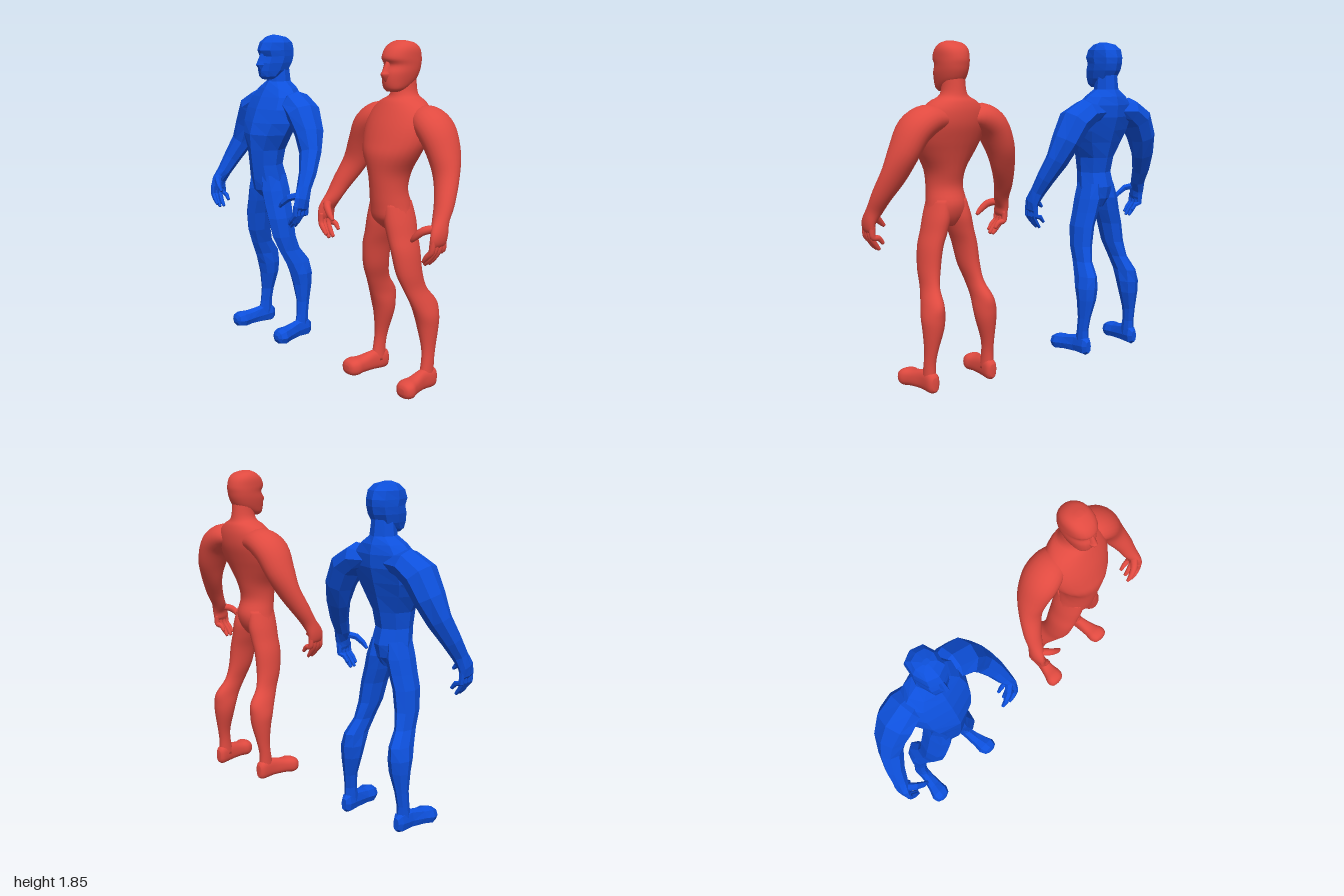
import * as THREE from 'three';

// Catmull-Rom through the rows of a ring table
function refine(rows, steps) {
  if (steps === 1) return rows;
  const out = [], n = rows.length, at = i => rows[Math.min(n - 1, Math.max(0, i))];
  for (let i = 0; i < n - 1; i++) {
    for (let s = 0; s < steps; s++) {
      const t = s / steps;
      out.push(rows[i].map((p1, k) => {
        const p0 = at(i - 1)[k], p2 = at(i + 1)[k], p3 = at(i + 2)[k];
        return p1 + 0.5 * t * (p2 - p0 + t * (2 * p0 - 5 * p1 + 4 * p2 - p3 + t * (3 * (p1 - p2) + p3 - p0)));
      }));
    }
  }
  out.push(rows[n - 1]);
  return out;
}

// Closed skin over rings [x, y, z, half width, front depth, back depth].
// axis: 'y' level rings, 'z' upright rings, 'path' rings square to the path.
function loft(table, { sides, steps, axis = 'path', side = 1, power = 2 }) {
  const rows = refine(table, steps), pos = [], idx = [], n = rows.length;
  const centre = i => new THREE.Vector3(...rows[Math.min(n - 1, Math.max(0, i))].slice(0, 3));
  const round = c => Math.sign(c) * Math.pow(Math.abs(c), 2 / power);
  rows.forEach((r, i) => {
    let u = new THREE.Vector3(1, 0, 0), v = new THREE.Vector3(0, 0, 1);
    if (axis === 'z') v.set(0, 1, 0);
    if (axis === 'path') {
      const t = centre(i + 1).sub(centre(i - 1)).normalize();
      v.addScaledVector(t, -v.dot(t)).normalize();
      u = t.clone().cross(v);
    }
    for (let j = 0; j < sides; j++) {
      const a = (j / sides) * Math.PI * 2, s = round(Math.sin(a));
      const p = centre(i).addScaledVector(u, round(Math.cos(a)) * r[3]).addScaledVector(v, s * (s > 0 ? r[4] : r[5]));
      pos.push(p.x * side, p.y, p.z);
    }
  });
  for (const i of [0, n - 1]) pos.push(rows[i][0] * side, rows[i][1], rows[i][2]);
  for (let j = 0; j < sides; j++) {
    const k = (j + 1) % sides, top = (n - 1) * sides;
    for (let i = 0; i < n - 1; i++) {
      const a = i * sides + j, b = i * sides + k;
      idx.push(a, b, b + sides, a, b + sides, a + sides);
    }
    idx.push(n * sides, k, j, n * sides + 1, top + j, top + k);
  }
  // turn the skin outward whichever way the rings run
  let volume = 0;
  const P = i => new THREE.Vector3().fromArray(pos, i * 3);
  for (let i = 0; i < idx.length; i += 3) volume += P(idx[i]).sub(centre(0).setX(rows[0][0] * side)).dot(
    P(idx[i + 1]).sub(centre(0).setX(rows[0][0] * side)).cross(P(idx[i + 2]).sub(centre(0).setX(rows[0][0] * side))));
  if (volume < 0) idx.reverse();
  const g = new THREE.BufferGeometry();
  g.setAttribute('position', new THREE.Float32BufferAttribute(pos, 3));
  g.setIndex(idx);
  g.computeVertexNormals();
  return g;
}

// [x, y, half width, front z, back z] to a level ring
const level = rows => rows.map(([x, y, w, f, b]) => [x, y, (f + b) / 2, w, (f - b) / 2, (f - b) / 2]);

const TORSO = level([
  [0, 0.875, 0.03, 0.06, -0.04], [0, 0.93, 0.115, 0.115, -0.075], [0, 1.0, 0.11, 0.13, -0.09],
  [0, 1.085, 0.1, 0.14, -0.065], [0, 1.176, 0.112, 0.15, -0.085], [0, 1.27, 0.165, 0.155, -0.115],
  [0, 1.34, 0.195, 0.135, -0.14], [0, 1.42, 0.205, 0.105, -0.165], [0, 1.49, 0.185, 0.07, -0.17],
  [0, 1.54, 0.135, 0.04, -0.16], [0, 1.58, 0.07, 0.01, -0.14], [0, 1.68, 0.058, 0, -0.13]]);

const HEAD = level([
  [0, 1.593, 0.035, 0.045, -0.01], [0, 1.61, 0.055, 0.063, -0.06], [0, 1.645, 0.068, 0.072, -0.12],
  [0, 1.69, 0.078, 0.07, -0.147], [0, 1.73, 0.081, 0.055, -0.157], [0, 1.765, 0.083, 0.072, -0.16],
  [0, 1.81, 0.08, 0.05, -0.145], [0, 1.84, 0.06, 0.01, -0.105], [0, 1.853, 0.02, -0.02, -0.05]]);

const LEG = level([
  [0.055, 1.02, 0.045, 0.11, -0.07], [0.065, 0.93, 0.064, 0.115, -0.085], [0.084, 0.85, 0.064, 0.11, -0.08],
  [0.11, 0.765, 0.06, 0.105, -0.077], [0.127, 0.65, 0.054, 0.085, -0.08], [0.142, 0.56, 0.043, 0.048, -0.105],
  [0.158, 0.48, 0.051, 0.01, -0.165], [0.166, 0.41, 0.061, -0.02, -0.17], [0.17, 0.34, 0.055, -0.04, -0.163],
  [0.182, 0.23, 0.035, -0.055, -0.14], [0.187, 0.15, 0.031, -0.05, -0.127], [0.187, 0.06, 0.033, -0.03, -0.13]]);

const FOOT = [
  [0.187, 0.06, -0.145, 0.018, 0.03, 0.04], [0.187, 0.06, -0.12, 0.035, 0.055, 0.057],
  [0.192, 0.055, -0.04, 0.034, 0.06, 0.048], [0.204, 0.05, 0.04, 0.045, 0.048, 0.044],
  [0.212, 0.047, 0.09, 0.058, 0.05, 0.047], [0.215, 0.047, 0.125, 0.046, 0.037, 0.038],
  [0.215, 0.047, 0.137, 0.02, 0.015, 0.015]];

const ARM = [
  [0.07, 1.45, -0.07, 0.05, 0.06, 0.08], [0.16, 1.45, -0.07, 0.08, 0.1, 0.105], [0.24, 1.4, -0.062, 0.086, 0.11, 0.113],
  [0.3, 1.29, -0.055, 0.078, 0.09, 0.095], [0.343, 1.18, -0.03, 0.07, 0.062, 0.062], [0.385, 1.07, 0.025, 0.055, 0.05, 0.05],
  [0.405, 0.99, 0.07, 0.044, 0.042, 0.042], [0.425, 0.93, 0.097, 0.031, 0.055, 0.05],
  [0.425, 0.885, 0.107, 0.024, 0.055, 0.052], [0.42, 0.865, 0.108, 0.012, 0.042, 0.04]];

const THUMB = [
  [0.41, 0.955, 0.11, 0.02, 0.025, 0.025], [0.365, 0.94, 0.15, 0.021, 0.02, 0.02],
  [0.325, 0.905, 0.165, 0.017, 0.015, 0.015], [0.3, 0.88, 0.165, 0.009, 0.009, 0.009]];

// one finger curling inward to its tip
const finger = (z, tipX, tipY, tipZ) => [
  [0.425, 0.9, z, 0.017, 0.015, 0.015], [0.421, 0.845, z * 0.6 + tipZ * 0.4, 0.016, 0.015, 0.015],
  [tipX + 0.025, tipY + 0.03, tipZ, 0.015, 0.014, 0.014], [tipX, tipY, tipZ, 0.009, 0.009, 0.009]];
const FINGERS = [
  finger(0.145, 0.37, 0.785, 0.152), finger(0.12, 0.365, 0.768, 0.135),
  finger(0.093, 0.365, 0.768, 0.105), finger(0.068, 0.36, 0.805, 0.072)];

const NOSE = level([
  [0, 1.645, 0.012, 0.074, 0.02], [0, 1.68, 0.023, 0.1, 0.02], [0, 1.7, 0.018, 0.09, 0.02], [0, 1.75, 0.012, 0.063, 0.02]]);

function makeFigure(name, color, smooth) {
  const figure = new THREE.Group();
  figure.name = name;
  const material = new THREE.MeshStandardMaterial({ color, flatShading: !smooth });
  const steps = smooth ? 4 : 1, sides = smooth ? 24 : 8, few = smooth ? 12 : 6;
  const add = (part, table, options) => {
    const mesh = new THREE.Mesh(loft(table, { sides, steps, ...options }), material);
    mesh.name = part;
    figure.add(mesh);
  };
  add('torso', TORSO, { axis: 'y' });
  add('head', HEAD, { axis: 'y', power: smooth ? 2.2 : 2.6 });
  add('nose', NOSE, { axis: 'y', sides: few });
  // paired limbs
  for (const side of [1, -1]) {
    const label = side > 0 ? 'left' : 'right';
    add(label + 'Leg', LEG, { axis: 'y', side });
    add(label + 'Foot', FOOT, { axis: 'z', side, power: 2.5 });
    add(label + 'Arm', ARM, { side });
    add(label + 'Thumb', THUMB, { side, sides: few });
    FINGERS.forEach((f, i) => add(label + 'Finger' + (i + 1), f, { side, sides: few }));
  }
  return figure;
}

export function createModel() {
  const model = new THREE.Group();
  model.name = 'twoFigures';
  const faceted = makeFigure('facetedFigure', 0x0d50dc, false);
  const rounded = makeFigure('roundedFigure', 0xe04a40, true);
  faceted.position.x = -0.537;
  rounded.position.x = 0.537;
  model.add(faceted, rounded);
  return model;
}
